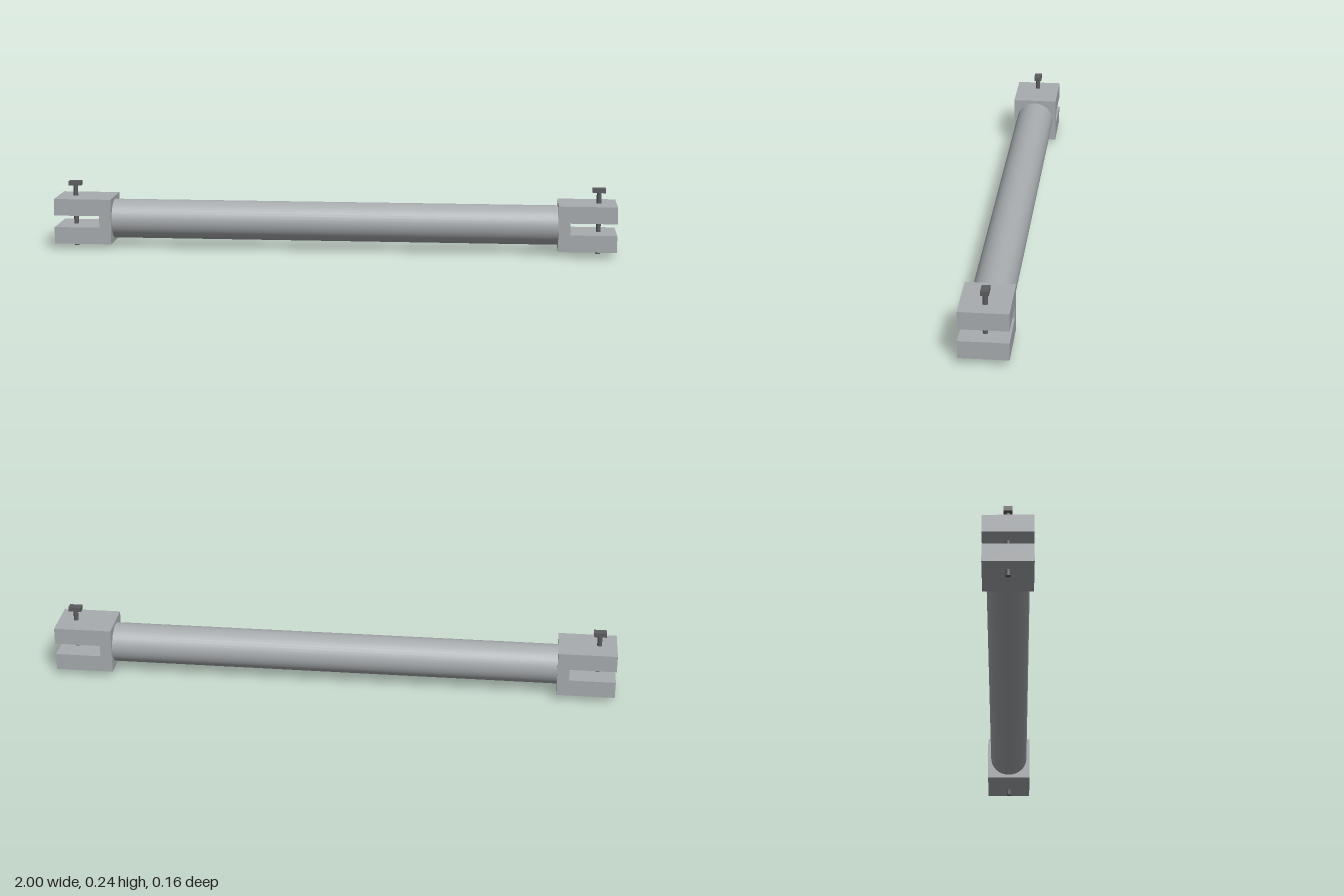
import * as THREE from 'three';

const steel = new THREE.MeshStandardMaterial({ color: 0xa8acaf });
steel.name = 'steel grey';
const dark = new THREE.MeshStandardMaterial({ color: 0x5c5d60 });
dark.name = 'dark steel';

const AXIS_Y = 0.101; // height of the rod's centre line

function add(parent, name, geometry, material, x, y, z = 0) {
  const mesh = new THREE.Mesh(geometry, material);
  mesh.name = name;
  mesh.position.set(x, y, z);
  parent.add(mesh);
  return mesh;
}

// Square block with a slot open at its outer end, outer end towards +x
function clevisGeometry() {
  const inner = 0.795, outer = 1, slotEnd = 0.837, half = 0.081, slot = 0.021;
  const points = [
    [inner, -half], [outer, -half], [outer, -slot], [slotEnd, -slot],
    [slotEnd, slot], [outer, slot], [outer, half], [inner, half],
  ].map(([x, y]) => new THREE.Vector2(x, y));
  const geometry = new THREE.ExtrudeGeometry(new THREE.Shape(points), {
    depth: 0.164, bevelEnabled: false,
  });
  return geometry.translate(0, 0, -0.082);
}

// Fork and its locking pin
function createEnd(name) {
  const end = new THREE.Group();
  end.name = name;
  add(end, 'clevis', clevisGeometry(), steel, 0, AXIS_Y);
  add(end, 'pinShaft', new THREE.CylinderGeometry(0.0085, 0.0085, 0.222, 16), dark, 0.938, 0.111);
  add(end, 'pinHead', new THREE.BoxGeometry(0.045, 0.016, 0.027), dark, 0.938, 0.228);
  return end;
}

export function createModel() {
  const model = new THREE.Group();
  model.name = 'clevisRod';

  // Round rod between the forks
  const rod = new THREE.CylinderGeometry(0.07, 0.07, 1.6, 40).rotateZ(Math.PI / 2);
  add(model, 'rod', rod, steel, 0, AXIS_Y);

  // Matching forks, the right one turned half round
  const leftEnd = createEnd('leftEnd');
  const rightEnd = createEnd('rightEnd');
  rightEnd.rotation.y = Math.PI;
  model.add(leftEnd, rightEnd);
  return model;
}
